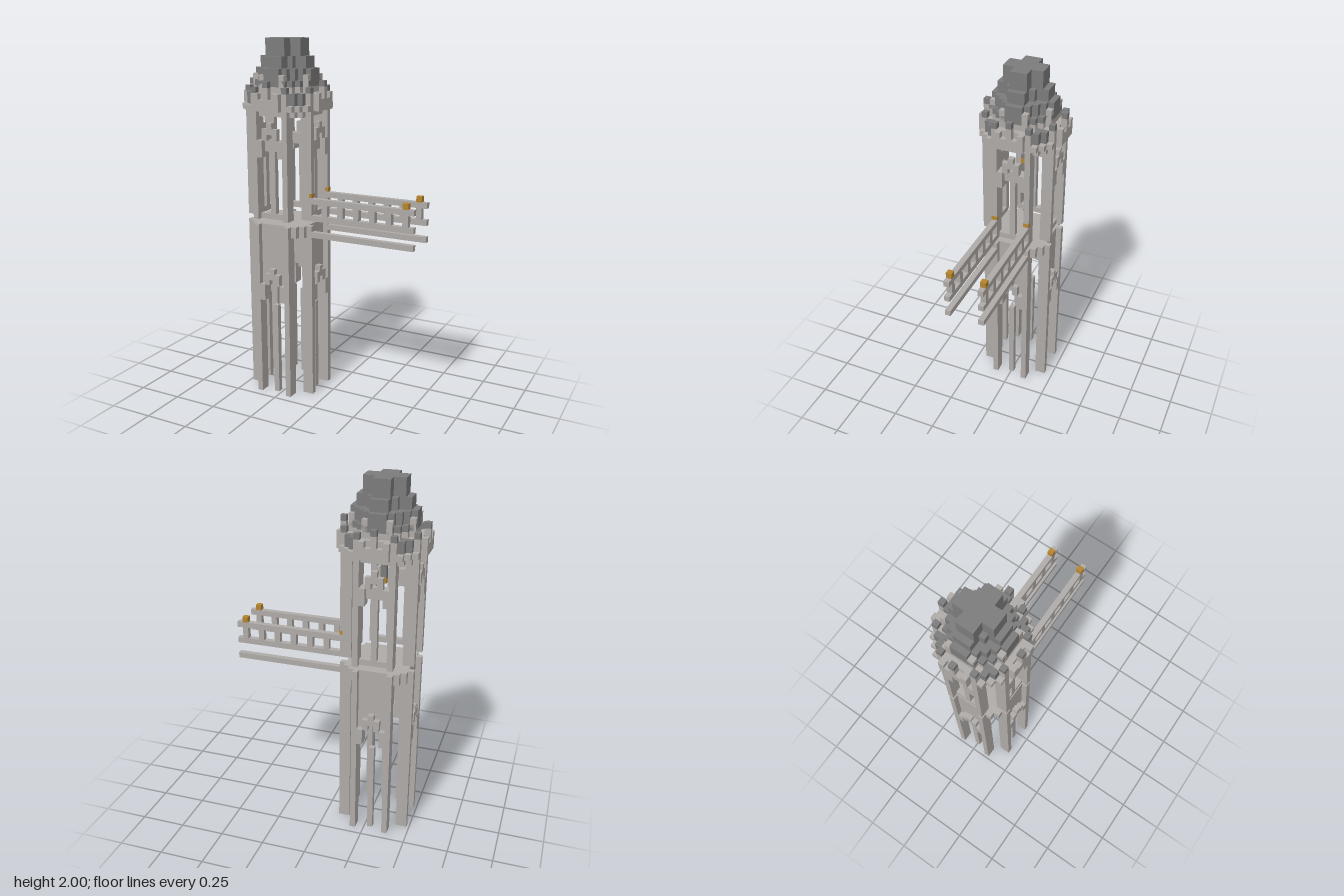
import * as THREE from 'three';

const V = 1 / 32; // one block

const stone = new THREE.MeshStandardMaterial({ color: 0xaeaaa7 });
stone.name = 'pale stone';
const slate = new THREE.MeshStandardMaterial({ color: 0x7b7b7b });
slate.name = 'dark slate';
const amber = new THREE.MeshStandardMaterial({ color: 0xb5852f });
amber.name = 'amber lantern';

// Box covering whole blocks x0..x1, y0..y1, z0..z1 (inclusive indices)
function blocks(parent, name, mat, x0, x1, y0, y1, z0, z1) {
  const geo = new THREE.BoxGeometry((x1 - x0 + 1) * V, (y1 - y0 + 1) * V, (z1 - z0 + 1) * V);
  const mesh = new THREE.Mesh(geo, mat);
  mesh.position.set((x0 + x1) / 2 * V, (y0 + y1 + 1) / 2 * V, (z0 + z1) / 2 * V);
  mesh.name = name;
  parent.add(mesh);
  return mesh;
}

// Blocky layer: one box per run of blocks where inside(x, z) holds
function layer(parent, name, mat, y0, y1, inside) {
  const group = new THREE.Group();
  group.name = name;
  for (let z = -7; z <= 7; z++) {
    let start = null;
    for (let x = -7; x <= 8; x++) {
      const on = x <= 7 && inside(x, z);
      if (on && start === null) start = x;
      if (!on && start !== null) {
        blocks(group, name + 'Row', mat, start, x - 1, y0, y1, z, z);
        start = null;
      }
    }
  }
  parent.add(group);
}

const disc = (r, inner = -1) => (x, z) => {
  const d = x * x + z * z;
  return d <= (r + 0.5) ** 2 && (inner < 0 || d > (inner + 0.5) ** 2);
};
const star = (core, tip) => (x, z) => {
  const a = Math.abs(x), b = Math.abs(z);
  return disc(core)(x, z) || (Math.min(a, b) <= 1 && Math.max(a, b) <= tip);
};

// Pointed arch trim standing out from the wall, legs starting at y
function archTrim(side, y) {
  for (const s of [-1, 1]) {
    blocks(side, 'archLeg', stone, 2 * s, 2 * s, y, y + 2, 6, 6);
    blocks(side, 'archShoulder', stone, s, s, y + 3, y + 4, 6, 6);
  }
  blocks(side, 'archKeystone', stone, 0, 0, y + 4, y + 5, 6, 6);
}

// One of the four identical sides, facing +z
function towerSide() {
  const side = new THREE.Group();
  side.name = 'towerSide';
  for (const s of [-1, 1]) {
    blocks(side, 'lowerPillar', stone, 3 * s, 3 * s, 0, 31, 5, 6);
    blocks(side, 'upperPillar', stone, 3 * s, 3 * s, 33, 51, 5, 6);
    blocks(side, 'panelEdge', stone, 2 * s, 2 * s, 18, 21, 5, 5);
    blocks(side, 'traceryLeg', stone, 2 * s, 2 * s, 44, 46, 5, 5);
    blocks(side, 'crownSpike', stone, 3 * s, 3 * s, 54, 54, 6, 6);
    blocks(side, 'crownSpikeCap', slate, 3 * s, 3 * s, 55, 55, 6, 6);
    blocks(side, 'crownTooth', stone, 2 * s, 2 * s, 54, 54, 7, 7);
    blocks(side, 'roofSpike', stone, 2 * s, 2 * s, 56, 57, 5, 5);
  }
  // lower window
  blocks(side, 'lowerMullion', stone, 0, 0, 0, 16, 5, 5);
  blocks(side, 'wallPanel', stone, -2, 2, 22, 30, 5, 5);
  archTrim(side, 18);
  // upper window
  blocks(side, 'upperSill', stone, -2, 2, 33, 33, 5, 5);
  blocks(side, 'upperMullion', stone, 0, 0, 34, 44, 5, 5);
  blocks(side, 'tracery', stone, -1, 1, 45, 46, 5, 5);
  archTrim(side, 44);
  // crown finial
  blocks(side, 'crownFinial', stone, 0, 0, 54, 55, 7, 7);
  blocks(side, 'crownFinialCap', slate, 0, 0, 56, 56, 7, 7);
  blocks(side, 'roofRib', slate, 0, 0, 57, 58, 5, 5);
  return side;
}

// Open bridge railing and its beam along +x
function bridgeSide(z) {
  const g = new THREE.Group();
  g.name = 'bridgeSide';
  blocks(g, 'bridgeBeam', stone, 7, 25, 30, 30, z, z);
  blocks(g, 'lowerRail', stone, 7, 25, 33, 33, z, z);
  blocks(g, 'upperRail', stone, 7, 25, 36, 36, z, z);
  for (let x = 9; x <= 24; x += 3) blocks(g, 'railPost', stone, x, x, 34, 35, z, z);
  blocks(g, 'bridgeLantern', amber, 24, 24, 37, 37, z, z);
  const torch = blocks(g, 'wallTorch', amber, 7, 7, 37, 37, z, z);
  torch.scale.set(0.55, 0.7, 1.08);
  torch.position.x = 6.3 * V;
  return g;
}

export function createModel() {
  const model = new THREE.Group();
  model.name = 'bridgeTower';
  const tower = new THREE.Group();
  tower.name = 'tower';
  tower.position.x = -9 * V;
  model.add(tower);

  for (let i = 0; i < 4; i++) {
    const side = towerSide();
    side.rotation.y = i * Math.PI / 2;
    tower.add(side);
  }

  // floor between the two storeys
  layer(tower, 'floorRing', stone, 30, 31, (x, z) => {
    const a = Math.abs(x), b = Math.abs(z);
    return (a === 4 && (b === 4 || b === 5)) || (a === 5 && b === 4);
  });
  layer(tower, 'floor', stone, 31, 31, (x, z) => {
    const a = Math.abs(x), b = Math.abs(z);
    return a <= 5 && b <= 5 && Math.max(a, b) <= 5 && a + b < 8;
  });

  // crown rings
  const diagonal = (x, z) => Math.min(Math.abs(x), Math.abs(z)) >= 4;
  layer(tower, 'crownCorbel', stone, 51, 51, (x, z) => disc(6, 4)(x, z) && Math.max(Math.abs(x), Math.abs(z)) <= 5);
  layer(tower, 'crownLedge', stone, 52, 52, disc(7, 4));
  layer(tower, 'crownRim', stone, 53, 53, (x, z) => disc(7, 6)(x, z) && !diagonal(x, z));
  layer(tower, 'crownWall', stone, 53, 54, (x, z) => disc(6, 4)(x, z) && !diagonal(x, z));
  layer(tower, 'crownCornerPanel', slate, 53, 54, (x, z) => disc(6, 4)(x, z) && diagonal(x, z));
  layer(tower, 'crownTop', stone, 55, 55, disc(5, 3));

  // stepped roof
  layer(tower, 'roofBase', slate, 56, 56, disc(5));
  layer(tower, 'roofLowerTier', slate, 57, 58, star(4, 5));
  layer(tower, 'roofMiddleTier', slate, 59, 60, star(3, 4));
  layer(tower, 'roofCap', slate, 61, 63, star(2, 3));

  // hanging lantern
  blocks(tower, 'lanternChain', slate, 0, 0, 47, 55, 0, 0);
  blocks(tower, 'hangingLantern', amber, 0, 0, 46, 46, 0, 0);

  for (const z of [-3, 3]) tower.add(bridgeSide(z));
  return model;
}
